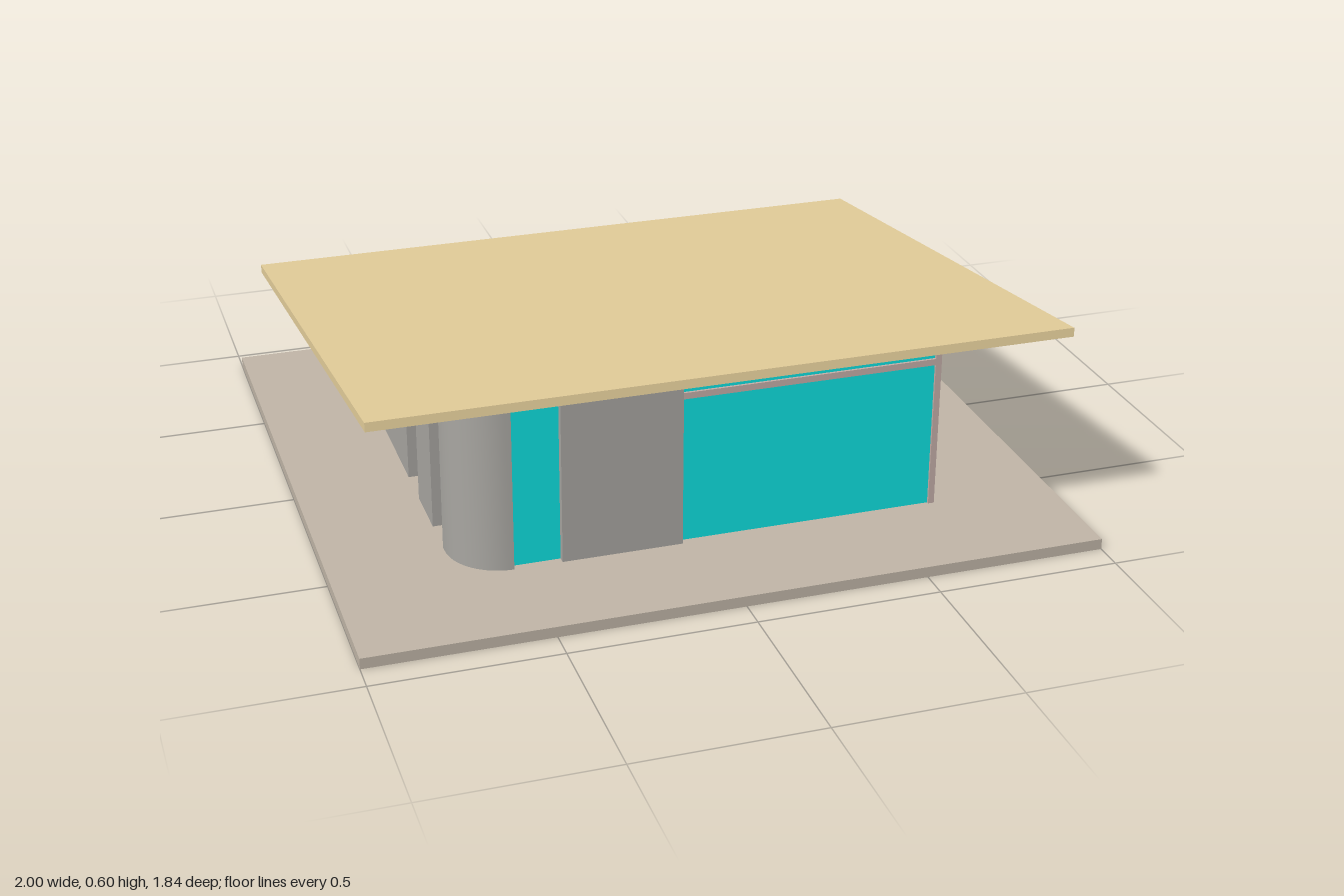
import * as THREE from 'three';
import { toCreasedNormals } from 'three/addons/utils/BufferGeometryUtils.js';

const mat = (color) => new THREE.MeshStandardMaterial({ color });
const FLOOR = 0.03, SLOPE = 0.14, T = 0.06;
const X = 0.68, Z = 0.61, R = 0.15;          // outer wall faces and corner radius
const roofY = (z) => 0.463 + SLOPE * z;      // underside of the sloping roof

// Upright prism on an [x, z] plan, its top cut to the roof slope
function prism(points) {
  const shape = new THREE.Shape(points.map(([x, z]) => new THREE.Vector2(x, -z)));
  const geo = new THREE.ExtrudeGeometry(shape, { depth: 1, bevelEnabled: false });
  geo.rotateX(-Math.PI / 2);
  const p = geo.attributes.position;
  for (let i = 0; i < p.count; i++) {
    p.setY(i, p.getY(i) > 0.5 ? roofY(p.getZ(i)) : FLOOR);
  }
  return toCreasedNormals(geo, 0.5);
}

const block = (x0, x1, z0, z1) => prism([[x0, z0], [x1, z0], [x1, z1], [x0, z1]]);

// Rounded corner wall running to endX on one face and endZ on the other
function corner(sx, sz, endX, endZ) {
  const pts = [[endX, Z]];
  const arc = (r, back) => {
    for (let i = 0; i <= 12; i++) {
      const a = ((back ? i : 12 - i) / 12) * Math.PI / 2;
      pts.push([X - R + r * Math.cos(a), Z - R + r * Math.sin(a)]);
    }
  };
  arc(R, false);
  pts.push([X, endZ], [X - T, endZ]);
  arc(R - T, true);
  pts.push([endX, Z - T]);
  return prism(pts.map(([x, z]) => [x * sx, z * sz]));
}

export function createModel() {
  const model = new THREE.Group();
  const wallMat = mat(0xa8a6a1), glassMat = mat(0x0fe0e0);
  const frameMat = mat(0xc4aea8);
  const add = (name, geo, material) => {
    const mesh = new THREE.Mesh(geo, material);
    mesh.name = name;
    model.add(mesh);
    return mesh;
  };

  // Base slab and tilted roof
  add('baseSlab', new THREE.BoxGeometry(2, FLOOR, 1.84), mat(0xc0b5a7)).position.y = FLOOR / 2;
  const roof = add('roof', new THREE.BoxGeometry(1.87, 0.024, 1.625), mat(0xe5cf9b));
  roof.rotation.x = -Math.atan(SLOPE);
  roof.position.set(0, roofY(-0.01) + 0.0125, -0.01);

  // Rounded corner walls
  add('frontRightCornerWall', corner(-1, 1, 0.53, 0.44), wallMat);
  add('backRightCornerWall', corner(-1, -1, 0.38, 0.44), wallMat);
  add('backLeftCornerWall', corner(1, -1, 0.53, 0.44), wallMat);

  // Straight wall panels on both sides
  for (const s of [-1, 1]) {
    for (const [z0, z1] of [[-0.31, 0.02], [0.15, 0.32]]) {
      add('sideWall', block(s * X, s * (X - T), z0, z1), wallMat);
    }
  }

  // Front and back wall panels
  add('frontWall', block(-0.4, -0.07, Z - T, Z), wallMat);
  for (const [x0, x1] of [[-0.26, -0.07], [-0.02, 0.09], [0.23, 0.4]]) {
    add('backWall', block(x0, x1, -Z, -Z + T), wallMat);
  }

  // Recessed entrance at the back
  add('entranceSideWall', block(0.03, 0.09, -Z + T, -0.38), wallMat);
  add('entranceSideWall', block(0.23, 0.29, -Z + T, -0.38), wallMat);
  add('entranceDoor', block(0.09, 0.23, -0.42, -0.4), glassMat);

  // Glass panes set back between the wall panels
  const inX = X - 0.03, inZ = Z - 0.02, G = 0.02;
  for (const s of [-1, 1]) {
    for (const [z0, z1] of [[-0.44, -0.31], [0.02, 0.15], [0.32, s > 0 ? 0.58 : 0.44]]) {
      add('sideGlass', block(s * inX, s * (inX - G), z0, z1), glassMat);
    }
  }
  for (const [x0, x1] of [[-0.53, -0.4], [-0.07, 0.64]]) {
    add('frontGlass', block(x0, x1, inZ - G, inZ), glassMat);
  }
  for (const [x0, x1] of [[-0.38, -0.26], [-0.07, -0.02], [0.4, 0.53]]) {
    add('backGlass', block(x0, x1, -inZ, -inZ + G), glassMat);
  }

  // Corner post and rail of the large front window
  add('cornerPost', block(0.64, 0.657, 0.58, 0.597), frameMat);
  add('windowRail', new THREE.BoxGeometry(0.71, 0.018, 0.02), frameMat).position.set(0.285, 0.455, 0.587);

  return model;
}
